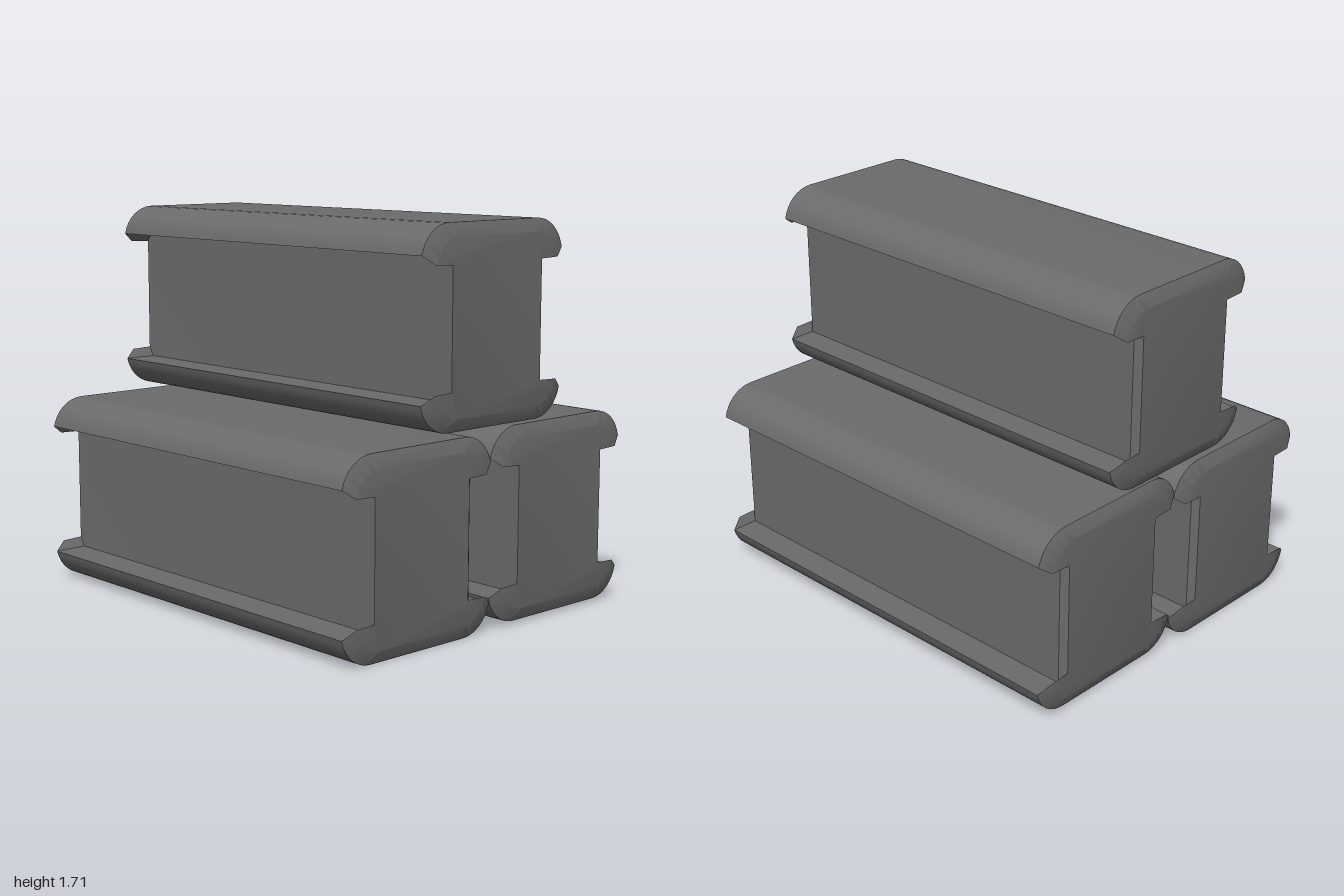
import * as THREE from 'three';
import { toCreasedNormals } from 'three/addons/utils/BufferGeometryUtils.js';

// Counter-clockwise I-shaped cross-section: rounded flanges scaled by s,
// flange underside at height under, web from webLeft to webRight
function section(s, under, webLeft, webRight) {
  const cx = 0.262, cy = 0.262, r = 0.158, steps = 8;
  const a0 = THREE.MathUtils.degToRad(12), a1 = Math.PI / 2;
  const v = (x, y) => new THREE.Vector2(x, y);
  const corner = (sx, sy, tipFirst) => {
    const pts = [];
    for (let i = 0; i <= steps; i++) {
      const a = THREE.MathUtils.lerp(a0, a1, tipFirst ? i / steps : 1 - i / steps);
      pts.push(v(sx * s * (cx + r * Math.cos(a)), sy * s * (cy + r * Math.sin(a))));
    }
    return pts;
  };
  return [
    ...corner(1, -1, false), v(webRight, -under), v(webRight, under), ...corner(1, 1, true),
    ...corner(-1, 1, false), v(webLeft, under), v(webLeft, -under), ...corner(-1, -1, true),
  ];
}

// Loft the section along z; the end faces are drawn in towards the centre
function beamGeometry() {
  const body = section(1, 0.295, -0.264, 0.292);
  const end = section(0.87, 0.253, -0.266, 0.264);
  const rings = [[end, -1], [body, -0.975], [body, 0.975], [end, 1]];
  const pos = [];
  const put = (k, i) => {
    const [pts, z] = rings[k];
    const p = pts[i % pts.length];
    pos.push(p.x, p.y, z);
  };
  for (let k = 0; k < 3; k++) {
    for (let i = 0; i < body.length; i++) {
      put(k, i); put(k, i + 1); put(k + 1, i + 1);
      put(k, i); put(k + 1, i + 1); put(k + 1, i);
    }
  }
  // End caps
  for (const [a, b, c] of THREE.ShapeUtils.triangulateShape(end, [])) {
    put(3, a); put(3, b); put(3, c);
    put(0, a); put(0, c); put(0, b);
  }
  const geo = new THREE.BufferGeometry();
  geo.setAttribute('position', new THREE.Float32BufferAttribute(pos, 3));
  return toCreasedNormals(geo, THREE.MathUtils.degToRad(25));
}

export function createModel() {
  const group = new THREE.Group();
  group.name = 'beamStack';
  const material = new THREE.MeshStandardMaterial({ color: 0x6b6b6b });
  const geometry = beamGeometry();

  // Two beams side by side and one resting on top
  const beams = [
    ['rightBeam', -0.415, 0.421],
    ['leftBeam', 0.415, 0.437],
    ['topBeam', 0.005, 1.289],
  ];
  for (const [name, x, y] of beams) {
    const beam = new THREE.Mesh(geometry, material);
    beam.name = name;
    beam.position.set(x, y, 0);
    group.add(beam);
  }
  return group;
}
